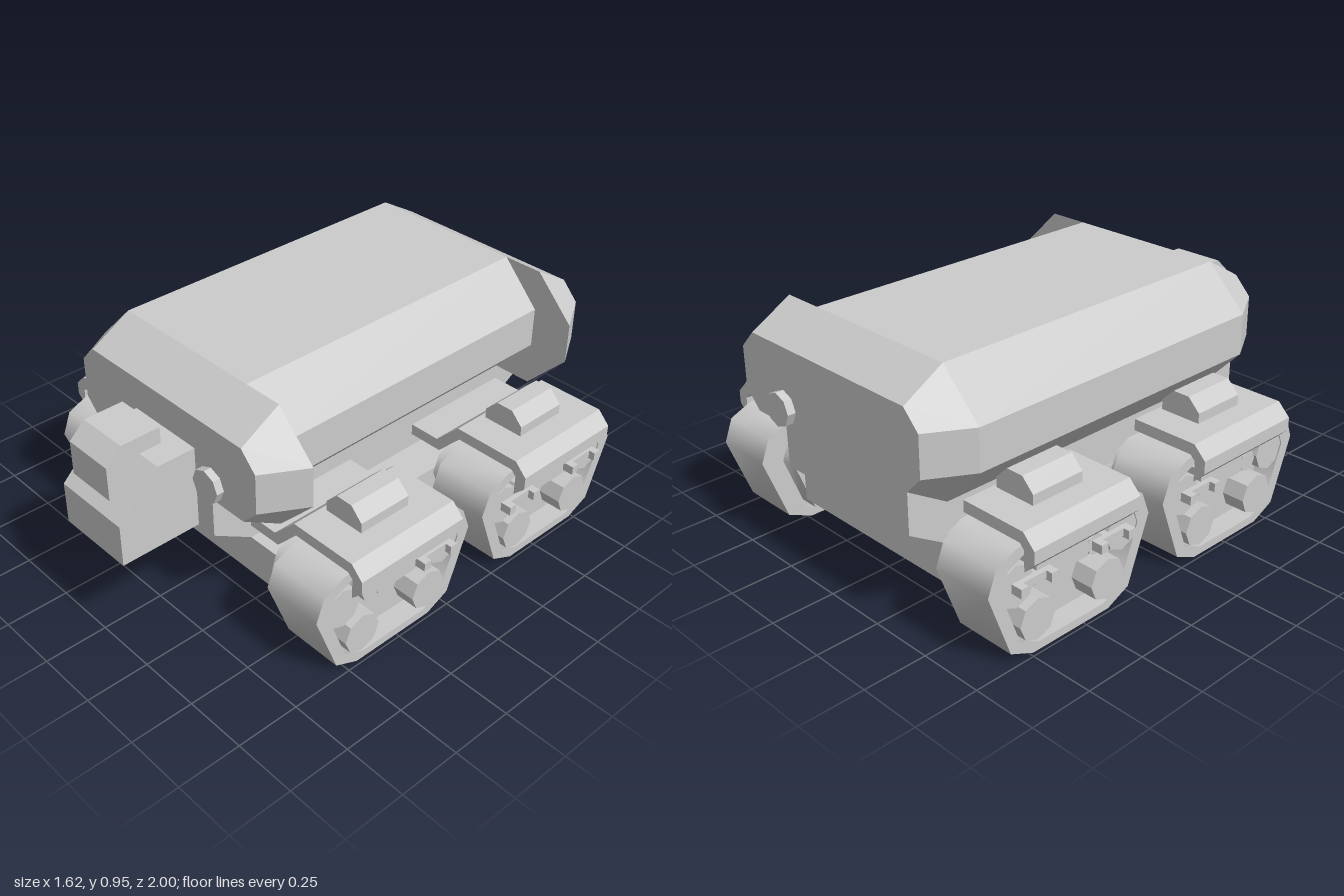
import * as THREE from 'three';
import { ConvexGeometry } from 'three/addons/geometries/ConvexGeometry.js';
import { toCreasedNormals } from 'three/addons/utils/BufferGeometryUtils.js';

const flat = new THREE.MeshStandardMaterial({ color: 0xcccccc, flatShading: true });
const smooth = new THREE.MeshStandardMaterial({ color: 0xcccccc });

function add(parent, name, geometry, material = flat) {
  const mesh = new THREE.Mesh(geometry, material);
  mesh.name = name;
  parent.add(mesh);
  return mesh;
}

function box(x0, x1, y0, y1, z0, z1) {
  return new THREE.BoxGeometry(Math.abs(x1 - x0), y1 - y0, Math.abs(z1 - z0))
    .translate((x0 + x1) / 2, (y0 + y1) / 2, (z0 + z1) / 2);
}

const toPoints = (pts) => pts.map(([a, b]) => new THREE.Vector2(a, b));

// Profile in (x, y), extruded from z0 to z1
function prismZ(pts, z0, z1) {
  return new THREE.ExtrudeGeometry(new THREE.Shape(toPoints(pts)), { depth: z1 - z0, bevelEnabled: false })
    .translate(0, 0, z0);
}

// Profile in (z, y), extruded between two x values, with an optional hole
function prismX(pts, xa, xb, hole) {
  const shape = new THREE.Shape(toPoints(pts));
  if (hole) shape.holes.push(new THREE.Path(toPoints(hole)));
  return new THREE.ExtrudeGeometry(shape, { depth: Math.abs(xb - xa), bevelEnabled: false })
    .rotateY(-Math.PI / 2).translate(Math.max(xa, xb), 0, 0);
}

// Eight-sided section: outer limits and the limits of its flat sides
function octagon(x0, x1, y0, y1, fx0, fx1, fy0, fy1) {
  return [[fx0, y0], [fx1, y0], [x1, fy0], [x1, fy1], [fx1, y1], [fx0, y1], [x0, fy1], [x0, fy0]];
}

// Octagonal cylinder along x
function disc(xa, xb, y, z, r) {
  return new THREE.CylinderGeometry(r, r, Math.abs(xb - xa), 8)
    .rotateZ(Math.PI / 2).translate((xa + xb) / 2, y, z);
}

// Track outline around its own centre line
const half = [[0.18, 0], [0.28, 0.045], [0.375, 0.3], [0.34, 0.39], [0.25, 0.43]];
const outline = [...half, ...half.map(([z, y]) => [-z, y]).reverse()];
const scaled = (k, zc) => outline.map(([z, y]) => [zc + z * k, 0.213 + (y - 0.213) * k]);

function createTrack(s, zc, rear) {
  const track = new THREE.Group();
  track.name = 'trackUnit';
  const X = (x) => s * x;

  // Tread band, recessed back plate and inner ring
  add(track, 'tread', toCreasedNormals(prismX(scaled(1, zc), X(0.49), X(0.735), scaled(0.85, zc)), 0.95), smooth);
  add(track, 'backPlate', prismX(scaled(0.86, zc), X(0.5), X(0.65)));
  add(track, 'innerRing', toCreasedNormals(prismX(scaled(0.76, zc), X(0.41), X(0.49)), 0.95), smooth);

  // Road wheels
  for (const d of [-1, 1]) {
    add(track, 'upperWheel', disc(X(0.64), X(0.73), 0.285, zc + d * 0.248, 0.08));
    add(track, 'lowerWheel', disc(X(0.64), X(0.743), 0.13, zc + d * 0.165, 0.08));
  }
  add(track, 'smallRoller', disc(X(0.64), X(0.73), 0.285, zc + 0.115, 0.04));

  // Drive housing with a chamfered lower edge
  const housing = [[0.64, 0.22], [0.69, 0.22], [0.73, 0.255], [0.73, 0.35], [0.64, 0.35]];
  add(track, 'driveHousing', prismZ(housing.map(([x, y]) => [X(x), y]), zc - 0.16, zc + 0.08));

  // Tie bars with end pegs
  const bars = rear ? [-0.187, 0.18] : [-0.187];
  for (const b of bars) {
    add(track, 'tieBar', box(X(0.7), X(0.75), 0.275, 0.305, zc + b - 0.082, zc + b + 0.082));
    for (const d of [-1, 1]) {
      const z = zc + b + d * 0.067;
      add(track, 'barPeg', box(X(0.64), X(0.775), 0.27, 0.305, z - 0.016, z + 0.016));
    }
  }
  return track;
}

function createFender(s, zc) {
  const fender = new THREE.Group();
  fender.name = 'fender';
  const side = (pts) => pts.map(([x, y]) => [s * x, y]);

  // Bent plate; the +x side also carries the arm to the hull
  const lip = [[0.76, 0.5], [0.81, 0.45], [0.81, 0.4], [0.765, 0.355], [0.765, 0.435], [0.745, 0.455]];
  const inner = s > 0
    ? [[0.49, 0.455], [0.395, 0.355], [0.25, 0.355], [0.25, 0.4], [0.38, 0.4], [0.48, 0.5]]
    : [[0.485, 0.455], [0.485, 0.5]];
  add(fender, 'fenderPlate', prismZ(side([...lip, ...inner]), zc - 0.245, zc + 0.245));

  // Chamfered block on the plate
  const block = [[0.5, 0.5], [0.67, 0.5], [0.67, 0.54], [0.62, 0.59], [0.55, 0.59], [0.5, 0.54]];
  add(fender, 'fenderBlock', prismZ(side(block), zc - 0.113, zc + 0.113));
  return fender;
}

export function createModel() {
  const model = new THREE.Group();
  model.name = 'trackedCarrier';

  // Middle hull, narrower on the +x side than its end caps
  const middle = octagon(-0.57, 0.41, 0.46, 0.955, -0.405, 0.25, 0.63, 0.79);
  add(model, 'hullMiddle', prismZ(middle, -0.805, 0.51));

  // Tapered end caps
  const wide = octagon(-0.57, 0.577, 0.46, 0.955, -0.405, 0.412, 0.63, 0.79);
  const narrow = octagon(-0.473, 0.48, 0.56, 0.86, -0.405, 0.412, 0.63, 0.79);
  for (const [name, zIn, zOut] of [['frontCap', 0.51, 0.675], ['rearCap', -0.805, -0.968]]) {
    const ring = (pts, z) => pts.map(([x, y]) => new THREE.Vector3(x, y, z));
    add(model, name, new ConvexGeometry([...ring(wide, zIn), ...ring(narrow, zOut)]));
  }

  // Keel with sloping ends, and the chassis box beneath it
  const keel = [[0.675, 0.6], [0.675, 0.4], [0.51, 0.3], [-0.805, 0.3], [-0.968, 0.4], [-0.968, 0.6]];
  add(model, 'keel', prismX(keel, -0.405, 0.25));
  add(model, 'chassis', box(-0.41, 0.41, 0.135, 0.3, -0.805, 0.51));

  // Chamfered sensor housings on the nose
  const head = new THREE.Group();
  head.name = 'noseHead';
  model.add(head);
  add(head, 'mainHousing', prismX([[0.67, 0.4], [1, 0.4], [1, 0.565], [0.83, 0.73], [0.67, 0.73]], -0.16, 0.165));
  add(head, 'upperHousing', prismX([[0.74, 0.6], [0.965, 0.6], [0.965, 0.735], [0.9, 0.795], [0.74, 0.795]], -0.145, 0.065));
  add(head, 'sideHousing', prismX([[0.67, 0.4], [0.9, 0.4], [0.9, 0.565], [0.83, 0.63], [0.67, 0.63]], -0.243, -0.16));

  // Round ports on both ends
  for (const [name, z] of [['frontPort', 0.68], ['rearPort', -0.975]]) {
    add(model, name, new THREE.CylinderGeometry(0.065, 0.065, 0.05, 8).rotateX(Math.PI / 2).translate(0.25, 0.63, z));
  }

  // Four track units with fenders
  for (const s of [-1, 1]) {
    for (const rear of [false, true]) {
      model.add(createTrack(s, rear ? -0.557 : 0.268, rear));
      model.add(createFender(s, rear ? -0.56 : 0.265));
    }
  }
  return model;
}
